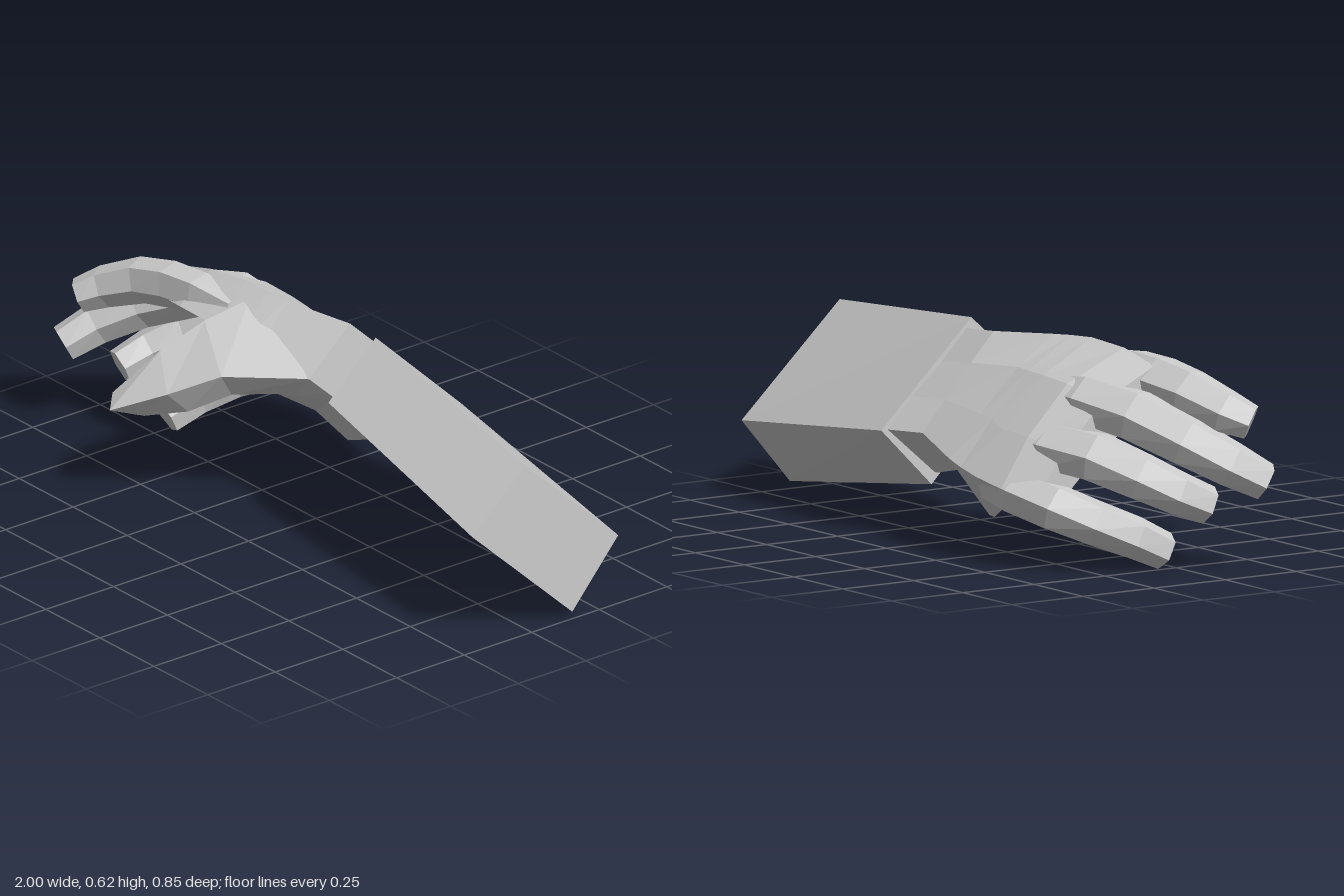
import * as THREE from 'three';

const grey = new THREE.MeshStandardMaterial({ color: 0xcccccc, flatShading: true });
grey.name = 'plain grey';

// Closed faceted skin through a list of rings (arrays of Vector3, equal length)
function loft(name, rings) {
  const n = rings[0].length, index = [];
  const positions = rings.flat().flatMap(p => [p.x, p.y, p.z]);
  for (let i = 0; i < rings.length - 1; i++) {
    for (let j = 0; j < n; j++) {
      const a = i * n + j, b = i * n + (j + 1) % n;
      index.push(a, b, a + n, b, b + n, a + n);
    }
  }
  const last = (rings.length - 1) * n;
  for (let k = 1; k < n - 1; k++) {
    index.push(0, k + 1, k, last, last + k, last + k + 1);
  }
  const indexed = new THREE.BufferGeometry();
  indexed.setAttribute('position', new THREE.Float32BufferAttribute(positions, 3));
  indexed.setIndex(index);
  const geometry = indexed.toNonIndexed();
  geometry.computeVertexNormals();
  const mesh = new THREE.Mesh(geometry, grey);
  mesh.name = name;
  return mesh;
}

// Ring across the arm at x; points are [z, y], lean shifts x toward the little finger side
const section = (x, points, lean = 0) =>
  points.map(([z, y]) => new THREE.Vector3(x - lean * z, y, z));

// Six-sided tapering finger; stations are [x, y, z, half width, half thickness]
const across = new THREE.Vector3(0, -0.7, -0.72);
function finger(name, stations) {
  const centres = stations.map(s => new THREE.Vector3(s[0], s[1], s[2]));
  const rings = stations.map((s, i) => {
    const d = centres[Math.min(i + 1, centres.length - 1)].clone()
      .sub(centres[Math.max(i - 1, 0)]).normalize();
    const w = across.clone().addScaledVector(d, -d.dot(across)).normalize();
    const up = new THREE.Vector3().crossVectors(w, d);
    return Array.from({ length: 6 }, (_, k) => {
      const t = (k - 0.5) * Math.PI / 3;
      return centres[i].clone()
        .addScaledVector(up, Math.cos(t) * s[4] * 1.15)
        .addScaledVector(w, Math.sin(t) * s[3]);
    });
  });
  return loft(name, rings);
}

export function createModel() {
  const model = new THREE.Group();
  model.name = 'hand and sleeve';

  // Boxy sleeve
  model.add(loft('sleeve', [
    section(1, [[0.025, 0.537], [-0.32, 0.215], [-0.15, 0.02], [0.22, 0.365]]),
    section(0.17, [[-0.085, 0.612], [-0.402, 0.31], [-0.225, 0.135], [0.09, 0.455]]),
  ]));

  // Wrist, heel of the hand and knuckles
  model.add(loft('palm', [
    section(0.18, [[-0.1, 0.58], [-0.19, 0.49], [-0.29, 0.4], [-0.38, 0.31],
      [-0.21, 0.165], [-0.13, 0.255], [-0.035, 0.355], [0.055, 0.45]]),
    section(0.02, [[-0.11, 0.595], [-0.19, 0.51], [-0.28, 0.41], [-0.36, 0.32],
      [-0.2, 0.2], [-0.12, 0.28], [-0.04, 0.37], [0.04, 0.46]]),
    section(-0.19, [[-0.045, 0.61], [-0.17, 0.525], [-0.3, 0.4], [-0.412, 0.28],
      [-0.27, 0.1], [-0.15, 0.23], [0, 0.33], [0.1, 0.44]]),
    section(-0.26, [[-0.03, 0.615], [-0.18, 0.525], [-0.31, 0.395], [-0.42, 0.265],
      [-0.3, 0.107], [-0.165, 0.25], [-0.015, 0.36], [0.1, 0.48]]),
    section(-0.35, [[-0.02, 0.62], [-0.19, 0.525], [-0.33, 0.38], [-0.428, 0.25],
      [-0.33, 0.148], [-0.18, 0.28], [-0.03, 0.39], [0.09, 0.51]]),
    section(-0.5, [[-0.01, 0.61], [-0.2, 0.52], [-0.33, 0.375], [-0.42, 0.23],
      [-0.34, 0.145], [-0.17, 0.32], [-0.03, 0.43], [0.1, 0.52]], 0.08),
    section(-0.64, [[0, 0.575], [-0.16, 0.48], [-0.28, 0.34], [-0.36, 0.22],
      [-0.32, 0.16], [-0.17, 0.33], [-0.04, 0.44], [0.07, 0.5]], 0.2),
  ]));

  // Curled fingers, from the knuckle to the blunt tip
  model.add(
    finger('indexFinger', [
      [-0.36, 0.525, 0, 0.06, 0.05], [-0.5, 0.533, 0.015, 0.082, 0.056],
      [-0.62, 0.525, 0.025, 0.085, 0.058], [-0.74, 0.505, 0.05, 0.078, 0.057],
      [-0.85, 0.46, 0.105, 0.068, 0.052], [-0.9, 0.43, 0.16, 0.054, 0.044]]),
    finger('middleFinger', [
      [-0.36, 0.47, -0.155, 0.06, 0.05], [-0.52, 0.475, -0.155, 0.08, 0.057],
      [-0.68, 0.445, -0.095, 0.082, 0.06], [-0.82, 0.38, -0.01, 0.077, 0.057],
      [-0.91, 0.315, 0.085, 0.069, 0.052], [-0.952, 0.262, 0.175, 0.057, 0.048]]),
    finger('ringFinger', [
      [-0.35, 0.335, -0.26, 0.06, 0.05], [-0.5, 0.345, -0.262, 0.08, 0.057],
      [-0.65, 0.33, -0.212, 0.08, 0.058], [-0.76, 0.28, -0.13, 0.073, 0.055],
      [-0.82, 0.23, -0.04, 0.065, 0.052], [-0.845, 0.19, 0.05, 0.057, 0.048]]),
    finger('littleFinger', [
      [-0.33, 0.225, -0.35, 0.06, 0.05], [-0.47, 0.215, -0.355, 0.074, 0.056],
      [-0.595, 0.183, -0.315, 0.073, 0.058], [-0.675, 0.14, -0.23, 0.068, 0.056],
      [-0.718, 0.095, -0.125, 0.063, 0.053], [-0.735, 0.048, -0.03, 0.056, 0.048]]),
  );

  // Wedge-shaped thumb: each ring is outer top, web top, web bottom, outer bottom
  model.add(loft('thumb', [
    [[0.02, 0.46, 0.035], [-0.31, 0.585, 0], [-0.36, 0.46, 0], [-0.08, 0.36, -0.03]],
    [[-0.17, 0.45, 0.215], [-0.36, 0.535, 0.125], [-0.36, 0.44, 0.09], [-0.19, 0.37, 0.16]],
    [[-0.29, 0.38, 0.32], [-0.41, 0.457, 0.25], [-0.4, 0.37, 0.2], [-0.28, 0.31, 0.25]],
    [[-0.43, 0.308, 0.42], [-0.48, 0.333, 0.37], [-0.475, 0.3, 0.34], [-0.39, 0.278, 0.325]],
  ].map(ring => ring.map(p => new THREE.Vector3(...p)))));

  return model;
}
